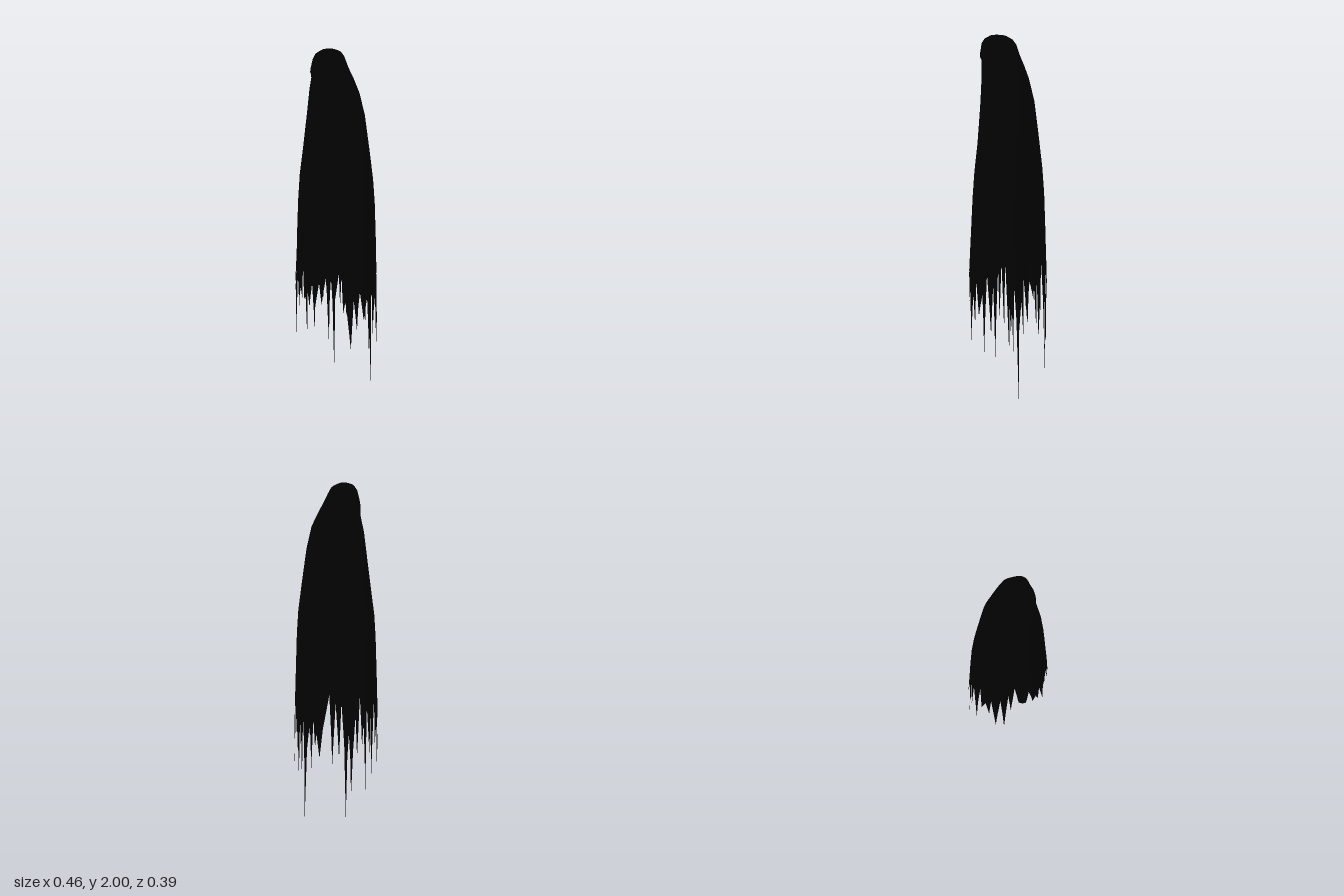
import * as THREE from 'three';

// Cloak rows: height, half width, front z, back z, z of the widest point, front roundness
const ROWS = [
  [2.0, 0.004, 0.044, 0.036, 0.04, 2], [1.993, 0.043, 0.092, -0.012, 0.04, 2],
  [1.975, 0.067, 0.122, -0.048, 0.038, 2], [1.95, 0.078, 0.14, -0.068, 0.034, 2],
  [1.9, 0.097, 0.147, -0.08, 0.022, 1.9], [1.875, 0.107, 0.149, -0.086, 0.014, 1.8],
  [1.86, 0.113, 0.142, -0.089, 0.006, 1.65], [1.83, 0.124, 0.145, -0.096, -0.01, 1.5],
  [1.75, 0.155, 0.143, -0.113, -0.025, 1.42], [1.62, 0.176, 0.144, -0.14, -0.04, 1.5],
  [1.4, 0.2, 0.147, -0.157, -0.045, 1.7], [1.24, 0.216, 0.157, -0.168, -0.047, 1.85],
  [1.1, 0.221, 0.164, -0.175, -0.05, 1.95], [0.9, 0.225, 0.177, -0.183, -0.05, 1.93],
  [0.65, 0.229, 0.191, -0.188, -0.05, 1.9], [0.0, 0.229, 0.2, -0.198, -0.05, 1.9],
];
const SHARED_ROWS = 14;   // rows above the torn hem
const HEM_STEPS = 4;

// Tip heights of the rags, from front centre to back centre, per side
const LEFT_TIPS = [0.5, 0.56, 0.6, 0.62, 0.52, 0.3, 0.4, 0.46, 0.25, 0.36, 0.24, 0.45, 0.4, 0.27, 0.22, 0.0, 0.33, 0.4];
const RIGHT_TIPS = [0.54, 0.58, 0.61, 0.63, 0.56, 0.28, 0.3, 0.42, 0.48, 0.26, 0.42, 0.23, 0.5, 0.44, 0.2, 0.06, 0.42, 0.38];
const TIPS = [...LEFT_TIPS, ...RIGHT_TIPS.slice().reverse()];

// Chosen notch heights, by index around the hem
const NOTCHES = { 0: 0.68, 4: 0.82, 13: 0.78, 18: 0.8, 23: 0.82, 32: 0.86 };

const noise = (n) => {
  const s = Math.sin(n * 127.1 + 3.7) * 43758.5453;
  return s - Math.floor(s);
};

function rowAt(y) {
  let i = 0;
  while (i < ROWS.length - 2 && ROWS[i + 1][0] > y) i++;
  const t = (ROWS[i][0] - y) / (ROWS[i][0] - ROWS[i + 1][0]);
  return ROWS[i].map((v, k) => v + (ROWS[i + 1][k] - v) * t);
}

// Narrowing front, squarer back with a slight central hollow
function cloakPoint(angle, y, flare = 0) {
  const [, w, front, back, mid, frontRound] = rowAt(y);
  const s = Math.sin(angle), c = Math.cos(angle);
  const lower = THREE.MathUtils.clamp((1.75 - y) / 0.65, 0, 1);
  const n = c >= 0 ? frontRound : 2 + 0.7 * lower;
  const px = Math.sign(s) * Math.abs(s) ** (2 / n);
  const pz = Math.abs(c) ** (2 / n);
  const hollow = c < 0 ? 0.01 * lower * Math.exp(-((s / 0.15) ** 2)) : 0;
  const k = 1 + flare;
  return [px * w * k, y, mid + pz * ((c >= 0 ? front : back) - mid) * k + hollow];
}

// Columns of the hem: notch, shoulder, thin tip, shoulder for every rag
function hemColumns() {
  const columns = [], count = TIPS.length, step = (Math.PI * 2) / count;
  const notchHeight = (i) => NOTCHES[i % count] ?? 0.58 + 0.2 * noise(i % count);
  const notchShift = (i) => (noise((i % count) + 30) - 0.5) * 0.5;
  TIPS.forEach((tip, i) => {
    const a = notchHeight(i), b = notchHeight(i + 1);
    const start = notchShift(i), end = 1 + notchShift(i + 1);
    const lean = 0.5 + (noise(i + 60) - 0.5) * 0.15;
    const flare = (noise(i + 90) - 0.5) * 0.06;
    const shoulder = (y) => y + (Math.max(tip, 0.3) - y) * 0.55;
    const add = (u, y, f) => columns.push({ angle: (i + u) * step, y, flare: f });
    add(start, a, 0);
    add(start + (lean - start) * 0.58, shoulder(a), flare / 2);
    add(lean, tip, flare);
    add(end + (lean - end) * 0.58, shoulder(b), flare / 2);
  });
  return columns;
}

function cloakGeometry() {
  const columns = hemColumns(), count = columns.length;
  const positions = [], index = [];
  for (let r = 0; r < SHARED_ROWS; r++) {
    for (const col of columns) positions.push(...cloakPoint(col.angle, ROWS[r][0]));
  }
  const hemTop = ROWS[SHARED_ROWS - 1][0];
  for (let r = 1; r <= HEM_STEPS; r++) {
    const t = r / HEM_STEPS;
    for (const col of columns) {
      positions.push(...cloakPoint(col.angle, hemTop + (col.y - hemTop) * t, col.flare * t));
    }
  }
  for (let r = 0; r < SHARED_ROWS + HEM_STEPS - 1; r++) {
    for (let c = 0; c < count; c++) {
      const a = r * count + c, b = r * count + ((c + 1) % count);
      index.push(a, a + count, b, b, a + count, b + count);
    }
  }
  // Close the crown
  const top = positions.length / 3;
  positions.push(0, 2, 0.04);
  for (let c = 0; c < count; c++) index.push(top, c, (c + 1) % count);

  const geometry = new THREE.BufferGeometry();
  geometry.setAttribute('position', new THREE.Float32BufferAttribute(positions, 3));
  geometry.setIndex(index);
  geometry.computeVertexNormals();
  return geometry;
}

export function createModel() {
  const group = new THREE.Group();
  group.name = 'tatteredCloak';
  const cloth = new THREE.MeshStandardMaterial({ color: 0x020202, side: THREE.DoubleSide });
  const cloak = new THREE.Mesh(cloakGeometry(), cloth);
  cloak.name = 'hoodedCloak';
  group.add(cloak);
  return group;
}
